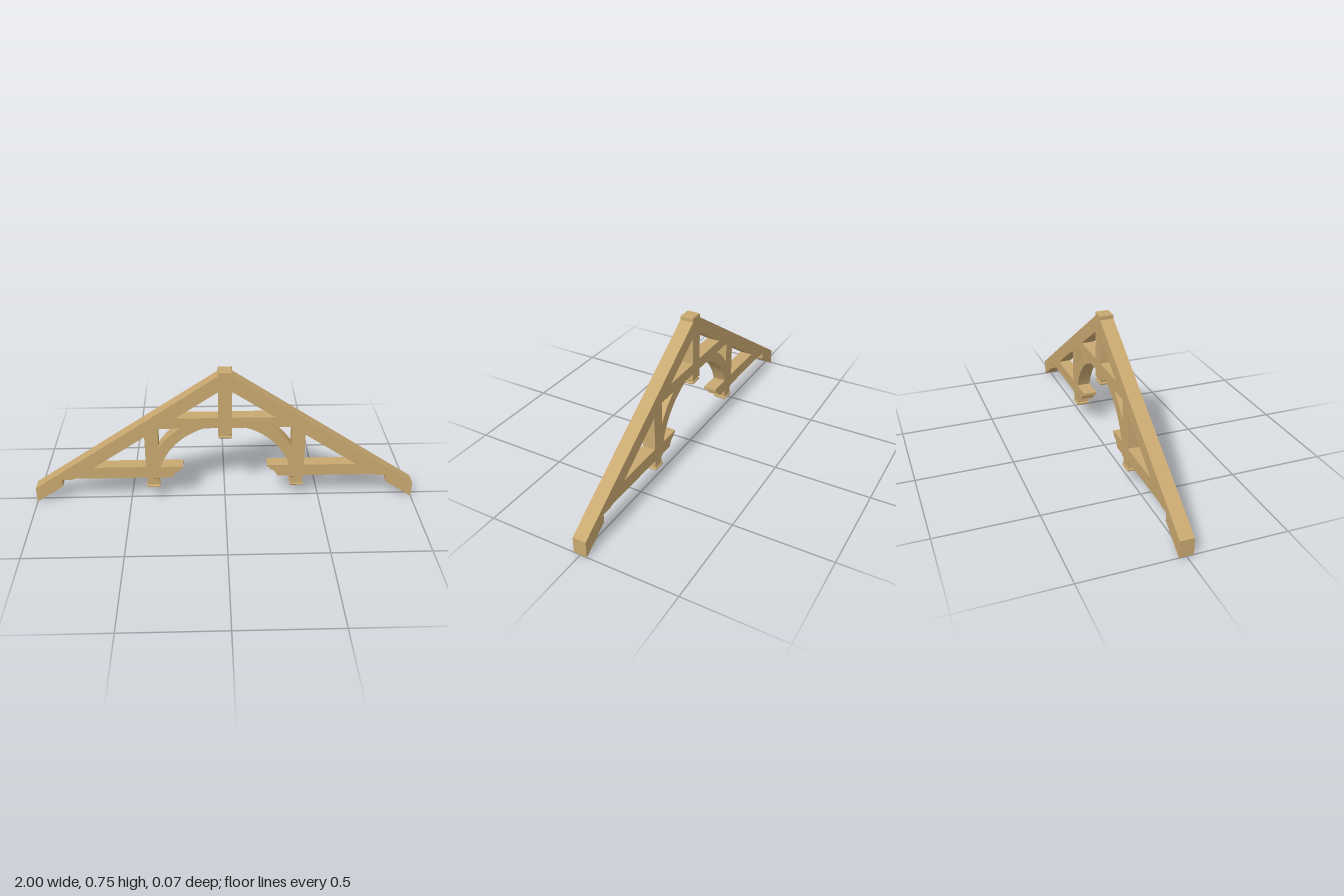
import * as THREE from 'three';

const HALF = 0.035; // half thickness of the timbers
const SLOPE = 0.667;

export function createModel() {
  const truss = new THREE.Group();
  truss.name = 'roofTruss';
  const wood = new THREE.MeshStandardMaterial({ color: 0xc8a870 });
  wood.name = 'oakWood';

  // flat timber cut from an outline, side = -1 mirrors it
  function timber(name, points, side = 1) {
    const shape = new THREE.Shape(points.map(([x, y]) => new THREE.Vector2(x * side, y)));
    const geo = new THREE.ExtrudeGeometry(shape, { depth: HALF * 2, bevelEnabled: false });
    geo.translate(0, 0, -HALF);
    const mesh = new THREE.Mesh(geo, wood);
    mesh.name = name;
    truss.add(mesh);
  }

  // square post turned from a [half width, height] profile, bottom to top
  function post(name, x, profile) {
    const pts = profile.map(([r, y]) => new THREE.Vector2(r * Math.SQRT2, y));
    const geo = new THREE.LatheGeometry(pts, 4, Math.PI / 4).toNonIndexed();
    geo.computeVertexNormals();
    const mesh = new THREE.Mesh(geo, wood);
    mesh.name = name;
    mesh.position.x = x;
    truss.add(mesh);
  }

  // moulded foot of a hanging post
  const foot = (y, neck) => [
    [0, y], [0.031, y], [HALF, y + 0.004], [HALF, y + 0.01], [0.03, y + 0.015],
    [0.03, y + 0.015 + neck], [HALF, y + 0.02 + neck],
  ];

  const arc = (r, a0, a1, n) => Array.from({ length: n + 1 }, (_, i) => {
    const a = a0 + (a1 - a0) * i / n;
    return [r * Math.cos(a), 0.103 + r * Math.sin(a)];
  });

  for (const side of [1, -1]) {
    const label = side > 0 ? 'left' : 'right';

    // rafter with its seat notch
    timber(label + 'Rafter', [
      [1, 0], [1, 0.753 - SLOPE], [0.02, 0.753 - SLOPE * 0.02], [0.02, 0.667 - SLOPE * 0.02],
      [0.79, 0.14], [0.8, 0.144], [0.8, 0.137], [0.857, 0.137], [0.857, 0.095],
    ], side);

    // hammer beam with a coved inner end
    timber(label + 'HammerBeam', [
      [0.8, 0.144], [0.8, 0.19], [0.76, 0.21], [0.22, 0.21], [0.22, 0.199], [0.234, 0.196], [0.236, 0.185],
      [0.248, 0.181], [0.258, 0.174], [0.265, 0.165], [0.268, 0.156], [0.275, 0.154], [0.275, 0.144],
    ], side);

    // curved brace under the collar
    timber(label + 'ArchBrace', [...arc(0.352, 0.2, 1.403, 20), ...arc(0.408, 1.016, 0.54, 10)], side);

    post(label + 'QueenPost', 0.378 * side, [...foot(0.08, 0.036), [HALF, 0.46], [0, 0.46]]);
  }

  // collar beam
  timber('collarBeam', [[-0.37, 0.439], [0.37, 0.439], [0.37, 0.498], [-0.37, 0.498]]);

  // king post with bevelled head
  post('kingPost', 0, [...foot(0.375, 0.004), [HALF, 0.748], [0.031, 0.753], [0, 0.753]]);

  return truss;
}
